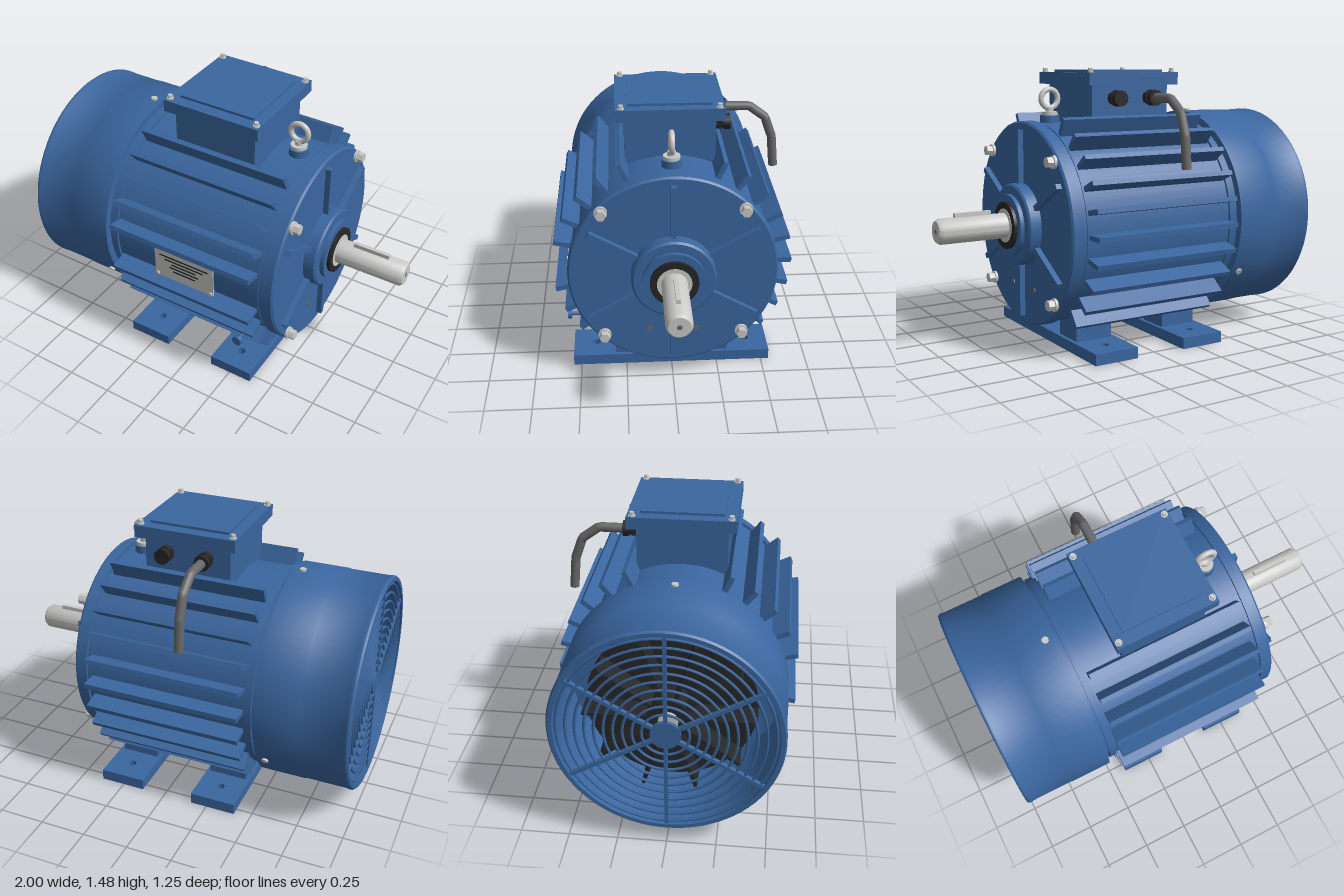
import * as THREE from 'three';
import { toCreasedNormals } from 'three/addons/utils/BufferGeometryUtils.js';

const mat = (name, color, side = THREE.FrontSide) => {
  const m = new THREE.MeshStandardMaterial({ color, side });
  m.name = name;
  return m;
};

export function createModel() {
  const blue = mat('bluePaint', 0x3a669f);
  const steel = mat('steel', 0xc9c9c7);
  const black = mat('blackRubber', 0x262626);
  const grey = mat('greyCable', 0x68686a);
  const AX = 0.657; // height of the shaft axis
  const root = new THREE.Group();
  root.name = 'electricMotor';

  const add = (name, geo, material, x = 0, y = 0, z = 0, parent = root) => {
    const m = new THREE.Mesh(geo, material);
    m.name = name;
    m.position.set(x, y, z);
    parent.add(m);
    return m;
  };
  const box = (name, material, x0, x1, y0, y1, z0, z1, parent = root) =>
    add(name, new THREE.BoxGeometry(x1 - x0, y1 - y0, z1 - z0), material,
      (x0 + x1) / 2, (y0 + y1) / 2, (z0 + z1) / 2, parent);
  // solid of revolution about the x axis; profile points are [x, radius]
  const turned = (name, material, profile, y = AX, z = 0, seg = 80) => {
    const g = new THREE.LatheGeometry(profile.map(([x, r]) => new THREE.Vector2(r, x)), seg);
    g.rotateZ(-Math.PI / 2);
    return add(name, toCreasedNormals(g, 0.6), material, 0, y, z);
  };
  // cylinder along a chosen axis
  const rod = (name, material, r, len, axis, x, y, z, seg = 24, parent = root) => {
    const g = new THREE.CylinderGeometry(r, r, len, seg);
    if (axis === 'x') g.rotateZ(-Math.PI / 2);
    if (axis === 'z') g.rotateX(Math.PI / 2);
    return add(name, seg < 8 ? toCreasedNormals(g, 0.5) : g, material, x, y, z, parent);
  };
  // group turned about the shaft axis, its local z pointing outward
  const radial = (name, deg) => {
    const g = new THREE.Group();
    g.name = name;
    g.position.y = AX;
    g.rotation.x = -THREE.MathUtils.degToRad(deg);
    root.add(g);
    return g;
  };

  // Stator housing with its end rings
  turned('housing', blue, [
    [-0.52, 0], [-0.52, 0.53], [-0.49, 0.53], [-0.49, 0.548], [-0.455, 0.548], [-0.455, 0.535],
    [0.42, 0.535], [0.42, 0.53], [0.44, 0.53], [0.44, 0.545], [0.5, 0.545], [0.51, 0.535], [0.51, 0],
  ]);

  // Cooling fins; the front middle one gives way to the nameplate
  const step = 12.9;
  for (let i = -4; i <= 5; i++) {
    for (const side of ['left', 'right']) {
      if (side === 'left' && i === 0) continue;
      const g = radial('coolingFin', side === 'left' ? i * step : 180 - i * step);
      box('fin', blue, -0.445, 0.41, -0.013, 0.013, 0.5, 0.63, g);
    }
  }

  // Front bearing cover: hub, ribs, bolts and plugs
  turned('bearingHub', blue, [
    [0.5, 0.218], [0.57, 0.218], [0.58, 0.208], [0.58, 0.163], [0.603, 0.163], [0.603, 0],
  ]);
  for (let i = 0; i < 6; i++) {
    box('coverRib', blue, 0.5, 0.54, -0.014, 0.014, 0.2, 0.5, radial('rib', 30 + i * 60));
  }
  for (const sy of [-1, 1]) for (const sz of [-1, 1]) {
    const y = AX + sy * 0.363, z = sz * 0.363;
    rod('boltWasher', steel, 0.034, 0.014, 'x', 0.517, y, z);
    rod('coverBolt', steel, 0.028, 0.035, 'x', 0.54, y, z, 6);
  }
  for (const sz of [-1, 1]) rod('drainPlug', grey, 0.015, 0.008, 'x', 0.511, 0.315, sz * 0.125);

  // Shaft, seal and key
  turned('shaftSeal', black, [[0.6, 0.125], [0.62, 0.125], [0.62, 0.088], [0.61, 0.088]]);
  turned('shaft', steel, [
    [0.59, 0.09], [0.622, 0.09], [0.622, 0.067], [0.982, 0.067], [1, 0.055], [1, 0],
  ], AX, 0, 48);
  rod('shaftCentreHole', grey, 0.013, 0.004, 'x', 0.9985, AX, 0);
  box('shaftKey', steel, 0.7, 0.9, AX + 0.04, 0.745, -0.011, 0.011);

  // Fan cowl, open at the back
  turned('fanCowl', blue, [
    [-0.51, 0.535], [-0.51, 0.555], [-0.985, 0.555], [-0.985, 0.545], [-1, 0.545], [-1, 0.566],
    [-0.99, 0.574], [-0.975, 0.574], [-0.97, 0.571], [-0.745, 0.571], [-0.74, 0.574],
    [-0.51, 0.574], [-0.51, 0.535],
  ]);
  for (const a of [90, -30, 210]) {
    const g = radial('cowlScrew', a);
    rod('screwHead', steel, 0.018, 0.014, 'z', -0.56, 0, 0.577, 16, g);
  }

  // Rear grille: rings on spokes
  for (let i = 0; i < 10; i++) {
    const ring = new THREE.TorusGeometry(0.115 + i * 0.046, 0.0075, 6, 64);
    add('grilleRing', ring.rotateY(Math.PI / 2), blue, -0.985, AX, 0);
  }
  rod('grilleHub', blue, 0.075, 0.02, 'x', -0.985, AX, 0, 32);
  for (let i = 0; i < 6; i++) {
    box('spoke', blue, -0.995, -0.972, -0.009, 0.009, 0.06, 0.555, radial('grilleSpoke', 30 + i * 60));
  }

  // Fan behind the grille
  rod('fanDisc', black, 0.43, 0.02, 'x', -0.72, AX, 0, 48);
  rod('fanHub', black, 0.11, 0.16, 'x', -0.79, AX, 0, 32);
  rod('rearShaft', steel, 0.05, 0.38, 'x', -0.7, AX, 0, 24);
  for (let i = 0; i < 10; i++) {
    box('blade', black, -0.86, -0.72, -0.008, 0.008, 0.1, 0.43, radial('fanBlade', i * 36));
  }

  // Feet: drilled bars with two pedestals each
  for (const x of [-0.285, 0.255]) {
    const bar = new THREE.Shape();
    bar.moveTo(-0.125, -0.543).lineTo(0.125, -0.543).lineTo(0.125, 0.543).lineTo(-0.125, 0.543).closePath();
    for (const s of [-1, 1]) {
      bar.holes.push(new THREE.Path().absarc(0, s * 0.42, 0.022, 0, Math.PI * 2, true));
    }
    const g = new THREE.ExtrudeGeometry(bar, { depth: 0.06, bevelEnabled: false, curveSegments: 16 });
    add('footBar', g.rotateX(-Math.PI / 2), blue, x);
    for (const s of [-1, 1]) {
      box('footPedestal', blue, x - 0.105, x + 0.105, 0.05, 0.22, s * 0.22 - 0.09, s * 0.22 + 0.09);
    }
  }

  // Terminal box and lid
  box('terminalBox', blue, -0.25, 0.22, 1.08, 1.395, -0.235, 0.235);
  box('terminalLid', blue, -0.29, 0.26, 1.39, 1.455, -0.28, 0.28);
  box('lidPanel', blue, -0.23, 0.2, 1.45, 1.468, -0.215, 0.215);
  for (const x of [-0.268, 0.237]) for (const z of [-0.25, 0.25]) {
    rod('lidScrewWasher', steel, 0.018, 0.006, 'y', x, 1.457, z, 16);
    rod('lidScrew', steel, 0.013, 0.025, 'y', x, 1.465, z, 6);
  }

  // Cable glands and the cable
  for (const x of [-0.125, 0.092]) {
    rod('glandBody', black, 0.033, 0.1, 'z', x, 1.322, -0.27, 20);
    rod('glandNut', black, 0.042, 0.03, 'z', x, 1.322, -0.262, 6);
    rod('glandCap', black, 0.042, 0.03, 'z', x, 1.322, -0.305, 12);
  }
  const path = new THREE.CurvePath();
  const pts = [[1.322, -0.3], [1.322, -0.45], [1.255, -0.54], [1.14, -0.582], [0.97, -0.598]]
    .map(([y, z]) => new THREE.Vector3(-0.125, y, z));
  for (let i = 1; i < pts.length; i++) path.add(new THREE.LineCurve3(pts[i - 1], pts[i]));
  add('cable', new THREE.TubeGeometry(path, 32, 0.025, 14), grey);
  const end = rod('cableEnd', grey, 0.025, 0.006, 'y', -0.125, 0.97, -0.598, 14);
  end.rotation.x = 0.09;

  // Lifting eye
  rod('eyeBoss', blue, 0.052, 0.06, 'y', 0.345, 1.2, 0, 32);
  rod('eyeCollar', steel, 0.044, 0.018, 'y', 0.345, 1.239, 0, 32);
  rod('eyeNeck', steel, 0.022, 0.03, 'y', 0.345, 1.255, 0, 20);
  add('liftingEye', new THREE.TorusGeometry(0.049, 0.015, 14, 40), steel, 0.345, 1.317, 0);

  // Nameplate on a raised pad, with blank dark rows and rivets
  box('nameplatePad', blue, -0.19, 0.155, 0.55, 0.76, 0.5, 0.551);
  box('nameplate', steel, -0.2, 0.165, 0.54, 0.77, 0.551, 0.557);
  [0.3, 0.24, 0.15, 0.18, 0.14].forEach((w, i) => {
    const y = 0.69 - i * 0.022;
    box('nameplateRow', black, -0.017 - w / 2, -0.017 + w / 2, y - 0.004, y + 0.004, 0.556, 0.559);
  });
  for (const x of [-0.185, 0.15]) for (const y of [0.555, 0.755]) {
    rod('nameplateRivet', steel, 0.011, 0.01, 'z', x, y, 0.56, 12);
  }

  // Earthing stud low on the front
  rod('earthStud', blue, 0.01, 0.2, 'z', 0.31, 0.295, 0.45, 12);
  rod('earthDisc', blue, 0.027, 0.02, 'z', 0.31, 0.295, 0.555, 24);

  return root;
}
